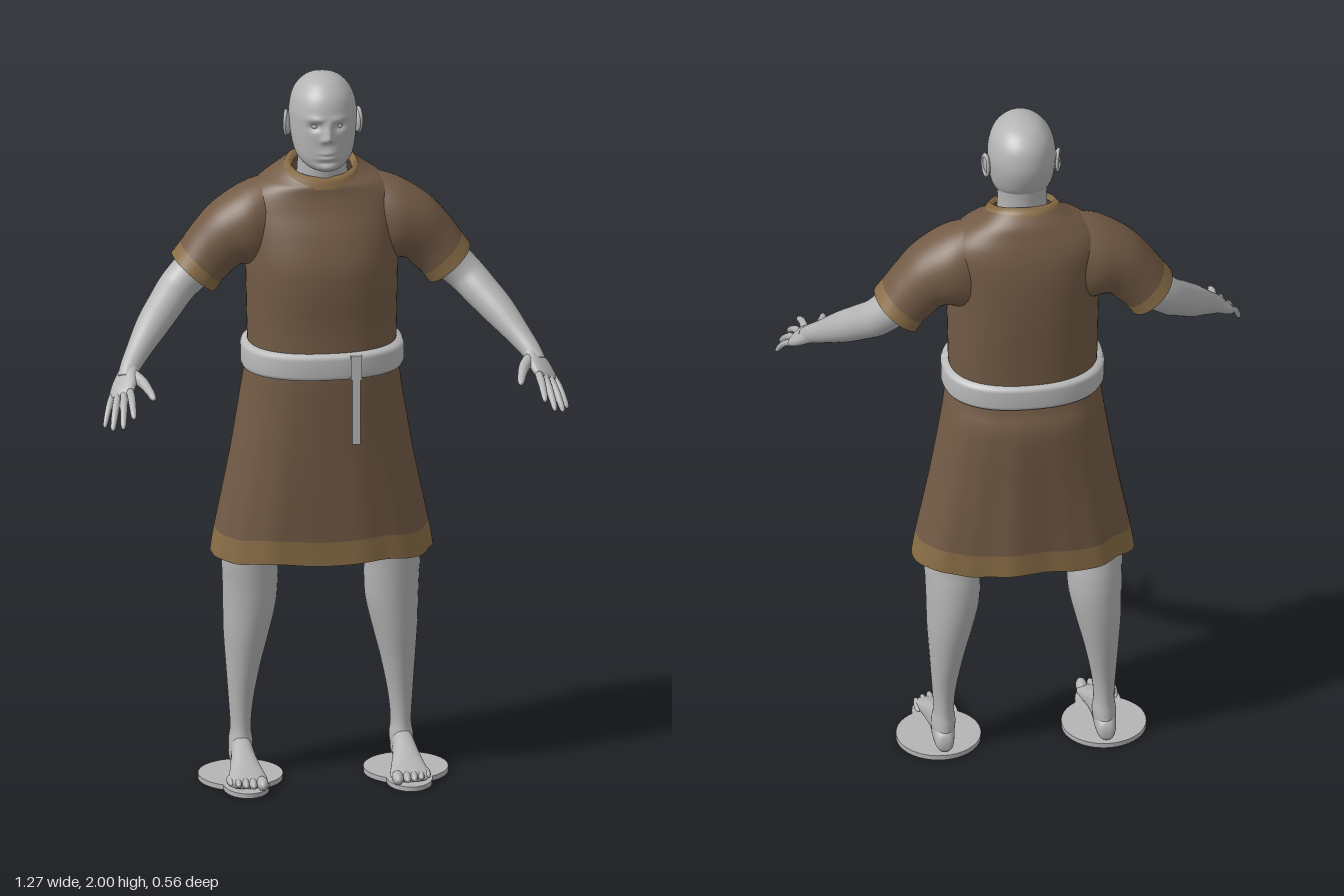
import * as THREE from 'three';

const V = (x, y, z) => new THREE.Vector3(x, y, z);
const mat = (name, color, side = THREE.FrontSide) => {
  const m = new THREE.MeshStandardMaterial({ color, side });
  m.name = name;
  return m;
};

// Catmull-Rom refinement of rows of numbers
function refine(rows, n) {
  const out = [];
  const last = rows.length - 1;
  for (let i = 0; i < last; i++) {
    const a = rows[Math.max(i - 1, 0)], b = rows[i], c = rows[i + 1], d = rows[Math.min(i + 2, last)];
    for (let k = 0; k < n; k++) {
      const t = k / n;
      out.push(b.map((p, j) => p + 0.5 * t * (c[j] - a[j] + t * (2 * a[j] - 5 * p + 4 * c[j] - d[j] + t * (3 * (p - c[j]) + d[j] - a[j])))));
    }
  }
  out.push(rows[last]);
  return out;
}

// Superellipse ring around c with half axes u and v
function ring(c, u, v, e = 2, seg = 32) {
  const f = (x) => Math.sign(x) * Math.pow(Math.abs(x), 2 / e);
  return Array.from({ length: seg }, (_, i) => {
    const a = (i / seg) * Math.PI * 2;
    return c.clone().addScaledVector(u, f(Math.cos(a))).addScaledVector(v, f(Math.sin(a)));
  });
}

// Skin over a series of rings, turned to face outwards
function loft(rings, capped = true) {
  const n = rings[0].length, pts = rings.flat(), idx = [];
  for (let r = 0; r < rings.length - 1; r++) {
    for (let i = 0; i < n; i++) {
      const a = r * n + i, b = r * n + (i + 1) % n;
      idx.push(a, b, a + n, b, b + n, a + n);
    }
  }
  if (capped) {
    [0, rings.length - 1].forEach((r) => {
      const c = rings[r].reduce((s, p) => s.add(p), V(0, 0, 0)).divideScalar(n);
      const m = pts.push(c) - 1;
      for (let i = 0; i < n; i++) {
        const a = r * n + i, b = r * n + (i + 1) % n;
        if (r) idx.push(a, b, m); else idx.push(b, a, m);
      }
    });
  }
  const mid = pts.reduce((s, p) => s.add(p), V(0, 0, 0)).divideScalar(pts.length);
  let vol = 0;
  for (let i = 0; i < idx.length; i += 3) {
    const [a, b, c] = [0, 1, 2].map((k) => pts[idx[i + k]].clone().sub(mid));
    vol += a.dot(b.cross(c));
  }
  if (vol < 0) idx.reverse();
  const g = new THREE.BufferGeometry().setFromPoints(pts);
  g.setIndex(idx);
  g.computeVertexNormals();
  return g;
}

// Horizontal ring from [y, half width, front z, back z, tilt]
function level([y, hw, zf, zb, tilt = 0], e = 2, seg = 48, cx = 0) {
  const zc = (zf + zb) / 2, h = (zf - zb) / 2;
  return ring(V(cx, y, zc), V(hw, 0, 0), V(0, tilt * h, h), e, seg);
}

// Round limb through [x, y, z, radius]
function limb(rows, s, n = 5, seg = 16) {
  const p = refine(rows, n), at = (i) => V(p[i][0] * s, p[i][1], p[i][2]);
  return loft(p.map((q, i) => {
    const d = at(Math.min(i + 1, p.length - 1)).sub(at(Math.max(i - 1, 0))).normalize();
    const u = V(0, 0, 1).cross(d).normalize();
    return ring(at(i), u.clone().multiplyScalar(q[3]), d.cross(u).multiplyScalar(q[3]), 2, seg);
  }));
}

export function createModel() {
  const model = new THREE.Group();
  const skin = mat('grey skin', 0xb4b4b4);
  const beltGrey = mat('belt grey', 0xbababa);
  const cloth = mat('brown cloth', 0x735b46, THREE.DoubleSide);
  const trim = mat('tan trim', 0x8a6e47, THREE.DoubleSide);
  const add = (name, geo, m) => {
    const mesh = new THREE.Mesh(geo, m);
    mesh.name = name;
    model.add(mesh);
    return mesh;
  };

  // Head: stacked rings, then face relief pushed along z
  const headRows = refine([
    [1.742, 0.015, -0.01, -0.06], [1.748, 0.04, 0.018, -0.1], [1.762, 0.06, 0.031, -0.12], [1.785, 0.077, 0.034, -0.145],
    [1.82, 0.086, 0.036, -0.172], [1.87, 0.091, 0.038, -0.189], [1.91, 0.09, 0.036, -0.19], [1.95, 0.079, 0.023, -0.178],
    [1.98, 0.055, -0.004, -0.148], [1.995, 0.028, -0.035, -0.108], [2.0, 0.006, -0.065, -0.078]], 9);
  const bell = (v, c, w) => Math.exp(-(((v - c) / w) ** 2));
  const head = headRows.map((r) => level(r, 2.1, 96));
  head.flat().forEach((p) => {
    if (p.z < -0.03) return;
    const x = Math.abs(p.x), y = p.y;
    const slope = y > 1.848 ? Math.max(0, 1 - (y - 1.848) / 0.05) : bell(y, 1.848, 0.009);
    p.z += 0.024 * slope * bell(x, 0, 0.011)
      + 0.007 * bell(x, 0.013, 0.007) * bell(y, 1.843, 0.008)
      - 0.013 * bell(x, 0.033, 0.016) * bell(y, 1.878, 0.011)
      + 0.005 * bell(x, 0.03, 0.025) * bell(y, 1.9, 0.008)
      + 0.009 * bell(x, 0, 0.024) * bell(y, 1.797, 0.016)
      - 0.006 * bell(x, 0, 0.024) * bell(y, 1.797, 0.004)
      - 0.004 * bell(x, 0, 0.03) * bell(y, 1.777, 0.006)
      + 0.006 * bell(x, 0, 0.025) * bell(y, 1.76, 0.01);
  });
  add('head', loft(head), skin);
  add('neck', loft(refine([[1.62, 0.08, -0.02, -0.17], [1.7, 0.07, -0.02, -0.163], [1.76, 0.067, -0.015, -0.16],
    [1.83, 0.07, -0.02, -0.165]], 5).map((r) => level(r))), skin);

  // Tunic body
  add('tunicBody', loft(refine([
    [1.19, 0.2, 0.055, -0.245, 0], [1.3, 0.203, 0.052, -0.25, 0], [1.4, 0.205, 0.057, -0.255, 0], [1.48, 0.207, 0.053, -0.257, 0],
    [1.56, 0.212, 0.03, -0.255, 0], [1.62, 0.215, 0.005, -0.248, 0], [1.66, 0.2, -0.008, -0.238, 0], [1.69, 0.165, -0.012, -0.225, -0.06],
    [1.71, 0.13, -0.014, -0.212, -0.18], [1.728, 0.1, -0.018, -0.185, -0.35]], 5).map((r) => level(r, 2.3, 64)), false), cloth);
  add('collar', loft([[1.716, 0.106, -0.01, -0.195, -0.33], [1.732, 0.1, -0.014, -0.188, -0.33], [1.744, 0.088, -0.02, -0.172, -0.33],
    [1.725, 0.08, -0.025, -0.165, -0.33]].map((r) => level(r, 2.1)), false), trim);

  // Skirt with soft folds that deepen towards the hem
  const skirtRing = (r) => {
    const pts = level(r, 2.35, 128);
    const drop = Math.min(1, Math.max(0, (1.17 - r[0]) / 0.54));
    pts.forEach((p, i) => {
      const a = (i / 128) * Math.PI * 2, back = Math.sin(a) < 0 ? 1.3 : 0.7;
      const k = 1 + 0.026 * back * drop * (Math.cos(9 * a + 0.5) + 0.5 * Math.sin(16 * a));
      p.z = -0.11 + (p.z + 0.11) * k;
      p.x *= 1 + 0.01 * drop * Math.cos(11 * a);
      p.y += 0.004 * drop * Math.sin(7 * a);
    });
    return pts;
  };
  const skirtRows = refine([[1.2, 0.2, 0.055, -0.245], [1.15, 0.21, 0.056, -0.255], [1.08, 0.22, 0.055, -0.272], [0.9, 0.25, 0.05, -0.268],
    [0.7, 0.29, 0.043, -0.263], [0.632, 0.301, 0.041, -0.261]], 6);
  add('skirt', loft(skirtRows.slice(0, 25).map(skirtRing), false), cloth);
  add('skirtHem', loft(skirtRows.slice(24).map(skirtRing), false), trim);

  // Belt and its hanging end
  add('belt', loft([[1.166, 0.2, 0.055, -0.245], [1.17, 0.217, 0.072, -0.26], [1.18, 0.221, 0.076, -0.263], [1.225, 0.221, 0.076, -0.263],
    [1.236, 0.217, 0.072, -0.26], [1.24, 0.2, 0.055, -0.245]].map((r) => level(r, 2.35, 64)), false), beltGrey);
  const strap = add('beltEnd', new THREE.BoxGeometry(0.022, 0.2, 0.01), beltGrey);
  strap.position.set(0.072, 1.085, 0.07);
  const loop = add('beltLoop', new THREE.BoxGeometry(0.03, 0.07, 0.012), beltGrey);
  loop.position.set(0.072, 1.203, 0.071);

  for (const s of [1, -1]) {
    const side = s > 0 ? 'left' : 'right';
    const part = (name, geo, m) => add(side + name, geo, m);

    // Eye and ear
    part('Eye', new THREE.SphereGeometry(0.011, 16, 12), skin).position.set(0.033 * s, 1.877, 0.012);
    const ear = part('Ear', new THREE.SphereGeometry(1, 20, 14), skin);
    ear.scale.set(0.009, 0.033, 0.02);
    ear.position.set(0.094 * s, 1.858, -0.083);
    ear.rotation.set(-0.2, 0.35 * s, 0);
    const rim = part('EarRim', new THREE.TorusGeometry(0.021, 0.005, 8, 24), skin);
    rim.scale.set(0.85, 1.45, 1);
    rim.position.set(0.099 * s, 1.858, -0.085);
    rim.rotation.set(0, Math.PI / 2 + 0.3 * s, 0);

    // Sleeve: [top x, top y, bottom x, bottom y, front z, back z]
    const sleeve = refine([
      [0.13, 1.703, 0.13, 1.42, -0.03, -0.215], [0.21, 1.677, 0.185, 1.45, -0.012, -0.222], [0.295, 1.622, 0.222, 1.455, -0.02, -0.21],
      [0.35, 1.56, 0.25, 1.43, -0.03, -0.202], [0.382, 1.515, 0.272, 1.408, -0.03, -0.2], [0.405, 1.483, 0.29, 1.383, -0.028, -0.202]], 5)
      .map(([tx, ty, bx, by, zf, zb]) => ring(V((s * (tx + bx)) / 2, (ty + by) / 2, (zf + zb) / 2),
        V((s * (tx - bx)) / 2, (ty - by) / 2, 0), V(0, 0, (zf - zb) / 2), 2.15, 40));
    part('Sleeve', loft(sleeve.slice(0, 21), false), cloth);
    part('Cuff', loft(sleeve.slice(20), false), trim);

    // Arm
    part('Arm', limb([[0.24, 1.56, -0.115, 0.06], [0.33, 1.46, -0.112, 0.057], [0.39, 1.402, -0.098, 0.052], [0.43, 1.362, -0.06, 0.049],
      [0.475, 1.317, -0.01, 0.044], [0.52, 1.267, 0.048, 0.033], [0.547, 1.235, 0.088, 0.027], [0.562, 1.213, 0.115, 0.022]], s, 6, 24), skin);

    // Palm, fingers and thumb
    const d = V(0.35, -0.55, 0.76).normalize(), w = V(-0.72, 0.33, 0.57).normalize();
    const thick = d.clone().cross(w).normalize();
    const flip = (v) => V(v.x * s, v.y, v.z);
    const wrist = V(0.545, 1.237, 0.083);
    part('Palm', loft(refine([[-0.01, 0.024, 0.022], [0.02, 0.03, 0.02], [0.055, 0.038, 0.018], [0.09, 0.039, 0.015], [0.108, 0.034, 0.009]], 5)
      .map(([t, a, b]) => ring(flip(wrist.clone().addScaledVector(d, t)), flip(w).multiplyScalar(a), flip(thick).multiplyScalar(b), 2.3, 24))), skin);
    [[0.56, 1.155, 0.28], [0.588, 1.125, 0.272], [0.613, 1.112, 0.245], [0.63, 1.108, 0.205]].forEach((tip, i) => {
      const base = wrist.clone().addScaledVector(d, 0.093).addScaledVector(w, 0.029 - i * 0.0195);
      const q = V(...tip), r = i === 3 ? 0.0085 : 0.01;
      const on = (t, k) => [...base.clone().lerp(q, t).addScaledVector(V(0, 1, 0), 0.01 * Math.sin(Math.PI * t)).toArray(), r * k];
      part('Finger' + (i + 1), limb([on(0, 1.1), on(0.4, 1.05), on(0.75, 0.9), on(0.94, 0.7), on(1, 0.25)], s, 3, 12), skin);
    });
    part('Thumb', limb([[0.548, 1.225, 0.1, 0.018], [0.522, 1.215, 0.145, 0.016], [0.508, 1.204, 0.19, 0.012],
      [0.501, 1.195, 0.225, 0.009], [0.5, 1.192, 0.236, 0.003]], s, 4, 12), skin);

    // Leg: [y, inner x, outer x, front z, back z]
    part('Leg', loft(refine([
      [0.98, 0.03, 0.21, -0.01, -0.2], [0.8, 0.08, 0.255, -0.012, -0.195], [0.63, 0.114, 0.27, -0.03, -0.182], [0.55, 0.117, 0.268, -0.037, -0.196],
      [0.48, 0.122, 0.266, -0.042, -0.203], [0.4, 0.14, 0.264, -0.05, -0.2], [0.3, 0.165, 0.257, -0.065, -0.185], [0.2, 0.184, 0.25, -0.078, -0.165],
      [0.13, 0.19, 0.246, -0.079, -0.161], [0.09, 0.186, 0.251, -0.07, -0.167], [0.05, 0.191, 0.249, -0.06, -0.172], [0.02, 0.198, 0.242, -0.07, -0.165]], 5)
      .map(([y, a, b, zf, zb]) => level([y, (b - a) / 2, zf, zb], 2, 32, (s * (a + b)) / 2))), skin);

    // Foot: [z, inner x, outer x, top y, bottom y]
    part('Foot', loft(refine([
      [-0.18, 0.21, 0.23, 0.05, 0.03], [-0.17, 0.197, 0.243, 0.075, 0.018], [-0.13, 0.19, 0.25, 0.1, 0.014], [-0.08, 0.189, 0.25, 0.11, 0.014],
      [-0.03, 0.184, 0.257, 0.09, 0.014], [0.02, 0.173, 0.267, 0.064, 0.014], [0.055, 0.167, 0.275, 0.048, 0.014], [0.078, 0.172, 0.268, 0.036, 0.016]], 5)
      .map(([z, a, b, t, l]) => ring(V((s * (a + b)) / 2, (t + l) / 2, z), V((b - a) / 2, 0, 0), V(0, (t - l) / 2, 0), 2.3, 28))), skin);
    for (let i = 0; i < 5; i++) {
      const toe = part('Toe' + (i + 1), new THREE.SphereGeometry(1, 14, 10), skin);
      const r = i ? 0.0115 - i * 0.0005 : 0.016;
      toe.scale.set(r, r + 0.002, 0.033);
      toe.position.set(s * (i ? 0.19 + i * 0.0195 : 0.184), 0.03, 0.079 - 0.002 * i * i);
    }

    // Thin sole: round pad at the heel with a narrower toe pad
    const heelPad = part('HeelPad', new THREE.CylinderGeometry(0.115, 0.115, 0.014, 40), skin);
    heelPad.position.set(0.225 * s, 0.007, -0.068);
    const toePad = part('ToePad', new THREE.CylinderGeometry(1, 1, 0.013, 32), skin);
    toePad.scale.set(0.062, 1, 0.085);
    toePad.position.set(0.222 * s, 0.0075, 0.03);
  }
  return model;
}
